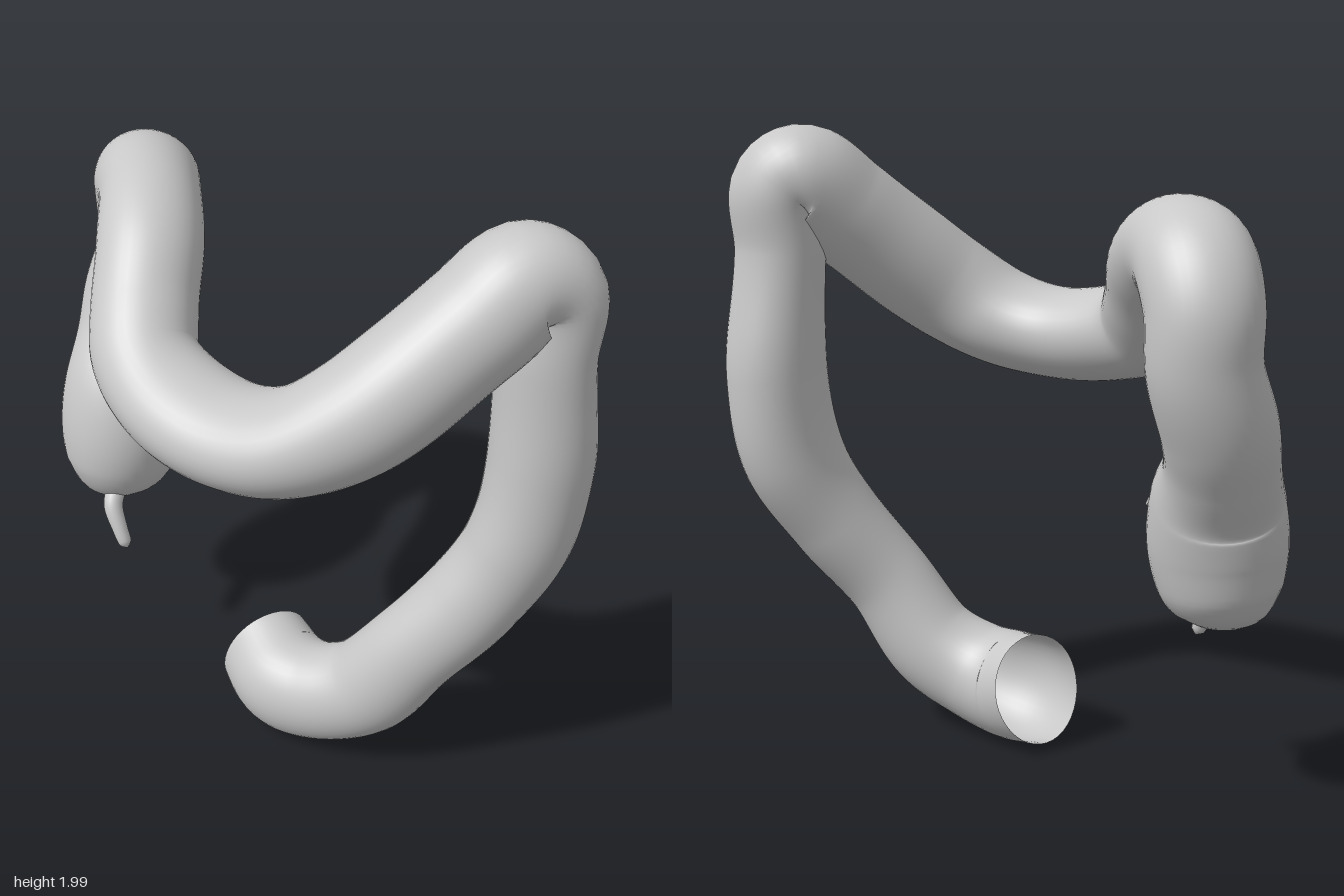
import * as THREE from 'three';

// Stations along the bowel: centre x, y, z, radius, optional depth factor along z
const BOWEL = [
  // closed pouch
  [-0.71, 0.572, -0.055, 0.004],
  [-0.71, 0.588, -0.055, 0.085],
  [-0.71, 0.632, -0.057, 0.145],
  [-0.705, 0.71, -0.065, 0.187],
  [-0.7, 0.84, -0.08, 0.21, 0.97],
  [-0.715, 0.98, -0.12, 0.196],
  [-0.76, 1.1, -0.2, 0.168],
  // ascending
  [-0.778, 1.22, -0.265, 0.165],
  [-0.757, 1.4, -0.33, 0.162],
  [-0.75, 1.56, -0.325, 0.165],
  // first bend
  [-0.69, 1.665, -0.26, 0.168],
  [-0.58, 1.685, -0.14, 0.16],
  [-0.47, 1.62, 0.005, 0.165],
  [-0.39, 1.5, 0.14, 0.163],
  [-0.31, 1.405, 0.24, 0.163],
  // transverse
  [-0.17, 1.35, 0.295, 0.152, 1.18],
  [0.05, 1.325, 0.32, 0.148, 1.25],
  [0.24, 1.36, 0.295, 0.155, 1.2],
  [0.41, 1.465, 0.21, 0.175],
  [0.63, 1.725, -0.045, 0.175],
  // second bend
  [0.71, 1.825, -0.155, 0.172],
  [0.765, 1.79, -0.21, 0.16, 0.85],
  // descending
  [0.77, 1.6, -0.205, 0.15, 0.87],
  [0.785, 1.2, -0.222, 0.158, 1.07],
  [0.755, 0.93, -0.188, 0.157, 1.13],
  [0.66, 0.71, -0.1, 0.152],
  [0.52, 0.5, -0.005, 0.15, 0.9],
  // lower curve and open end
  [0.37, 0.285, 0.04, 0.163, 0.88],
  [0.22, 0.205, 0.07, 0.167, 0.92],
  [0.08, 0.185, 0.065, 0.18, 0.92],
  [-0.045, 0.212, 0.01, 0.18, 0.82],
];

const APPENDIX = [
  [-0.645, 0.655, 0.03, 0.034],
  [-0.63, 0.605, 0.075, 0.033],
  [-0.59, 0.535, 0.095, 0.027],
  [-0.565, 0.485, 0.1, 0.022],
  [-0.557, 0.468, 0.1, 0.003],
];

const INLET = [
  [-0.6, 0.92, -0.14, 0.03],
  [-0.55, 0.958, -0.166, 0.03],
  [-0.53, 0.973, -0.176, 0.03],
];

// Skin rounded rings along a smooth path; ridge adds three soft lengthwise bands
function skin(stations, rings, sides, ridge = 0) {
  const path = new THREE.CatmullRomCurve3(stations.map(([x, y, z]) => new THREE.Vector3(x, y, z)));
  const radii = new THREE.CatmullRomCurve3(
    stations.map(([, , , r, depth = 1]) => new THREE.Vector3(r, r, r * depth)), false, 'catmullrom', 0.5);
  path.arcLengthDivisions = 600;
  const frames = path.computeFrenetFrames(rings, false);
  const positions = [], index = [];
  for (let i = 0; i <= rings; i++) {
    const u = i / rings;
    const centre = path.getPointAt(u);
    const radius = radii.getPoint(path.getUtoTmapping(u));
    const pouches = 1 + ridge * 0.5 * Math.sin(u * 100);
    for (let j = 0; j < sides; j++) {
      const a = (j / sides) * Math.PI * 2;
      const p = new THREE.Vector3()
        .addScaledVector(frames.normals[i], Math.cos(a))
        .addScaledVector(frames.binormals[i], Math.sin(a))
        .multiply(radius)
        .multiplyScalar(pouches + ridge * Math.cos(3 * a))
        .add(centre);
      positions.push(p.x, p.y, p.z);
      if (i < rings) {
        const p0 = i * sides + j, p1 = i * sides + (j + 1) % sides;
        index.push(p0, p1, p0 + sides, p1, p1 + sides, p0 + sides);
      }
    }
  }
  const geometry = new THREE.BufferGeometry();
  geometry.setAttribute('position', new THREE.Float32BufferAttribute(positions, 3));
  geometry.setIndex(index);
  geometry.computeVertexNormals();
  return geometry;
}

export function createModel() {
  const tissue = new THREE.MeshStandardMaterial({ color: 0xc8c8c8, side: THREE.DoubleSide });
  tissue.name = 'tissue grey';
  const group = new THREE.Group();
  group.name = 'largeIntestine';

  const add = (name, geometry) => {
    const mesh = new THREE.Mesh(geometry, tissue);
    mesh.name = name;
    group.add(mesh);
  };
  add('colon', skin(BOWEL, 320, 40, 0.012));
  add('appendix', skin(APPENDIX, 24, 14));
  add('smallBowelInlet', skin(INLET, 6, 14));
  return group;
}
